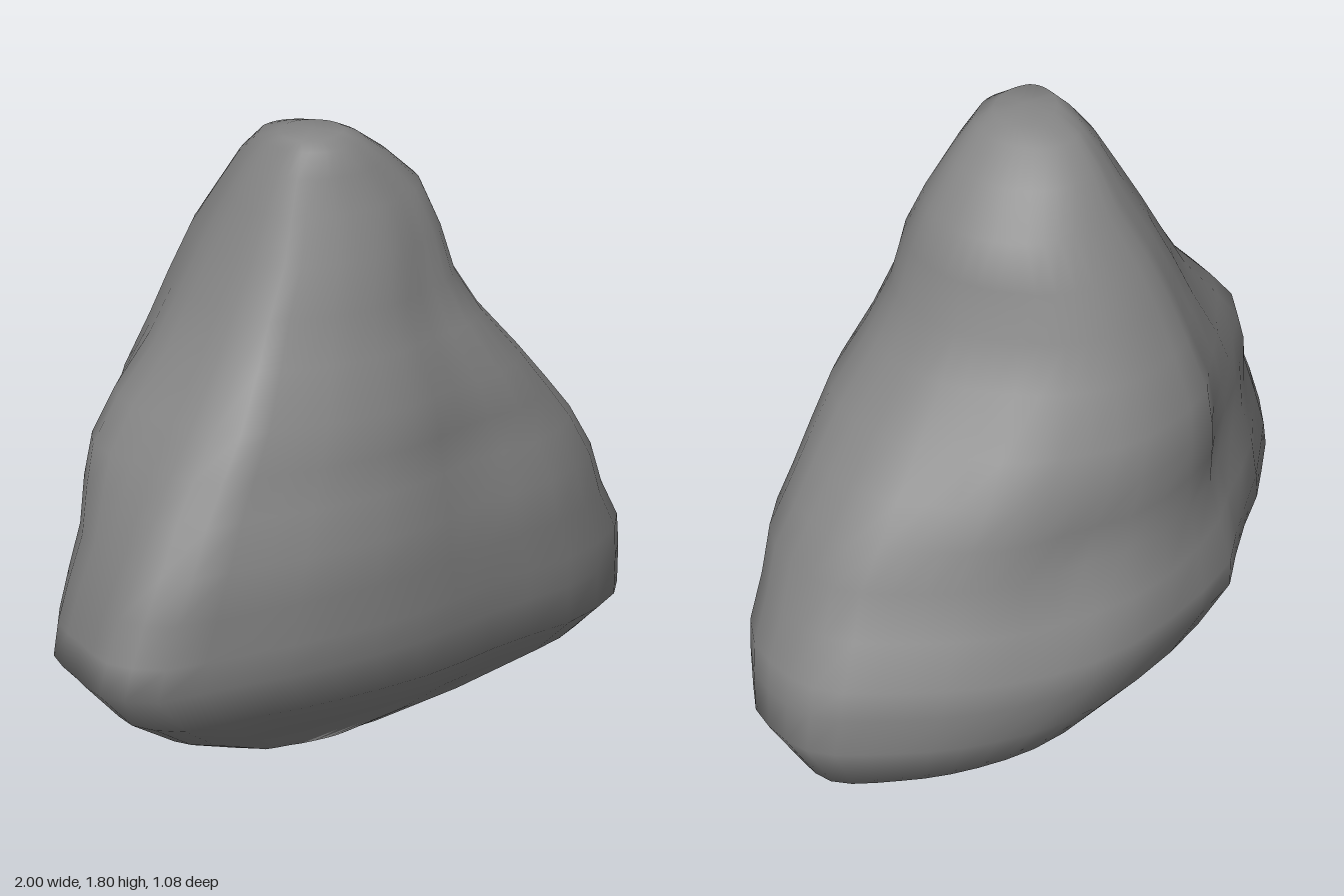
import * as THREE from 'three';

// Plan outline (x, z): flatter front, rounded back
const OUTLINE = [
  [-1, 0.13], [-0.93, 0.3], [-0.72, 0.36], [-0.53, 0.43], [-0.08, 0.52], [0.3, 0.51],
  [0.58, 0.53], [0.78, 0.48], [0.9, 0.41], [1, 0.22], [1, 0.1], [0.88, -0.1], [0.75, -0.26],
  [0.55, -0.42], [0.38, -0.5], [0.13, -0.54], [-0.16, -0.54], [-0.28, -0.48],
  [-0.5, -0.41], [-0.65, -0.32], [-0.81, -0.22], [-0.94, 0],
];

// Levels from the base up: y, left x, right x, back z, front z
const LEVELS = [
  [0.035, -0.36, 0.15, -0.1, 0.24],
  [0.05, -0.42, 0.58, -0.17, 0.26],
  [0.12, -0.64, 0.94, -0.35, 0.35],
  [0.24, -0.87, 0.99, -0.46, 0.49],
  [0.36, -1.0, 0.985, -0.52, 0.515],
  [0.45, -0.97, 0.97, -0.535, 0.525],
  [0.57, -0.935, 0.89, -0.51, 0.53],
  [0.7, -0.875, 0.83, -0.48, 0.535],
  [0.82, -0.78, 0.765, -0.485, 0.505],
  [0.93, -0.7, 0.67, -0.485, 0.495],
  [1.05, -0.61, 0.565, -0.475, 0.485],
  [1.2, -0.505, 0.44, -0.415, 0.435],
  [1.33, -0.435, 0.36, -0.36, 0.4],
  [1.47, -0.365, 0.315, -0.3, 0.38],
  [1.6, -0.31, 0.265, -0.21, 0.33],
  [1.7, -0.265, 0.145, -0.13, 0.29],
  [1.77, -0.225, 0.04, -0.05, 0.255],
  [1.797, -0.21, -0.015, 0.04, 0.21],
];

// Hollows and swellings: centre x, y, z, radius, depth (positive goes in)
const DENTS = [
  [0.4, 0.74, -0.42, 0.16, 0.05],
  [0.5, 1.0, -0.2, 0.15, -0.03],
  [-0.15, 0.62, -0.5, 0.15, 0.03],
  [-0.6, 0.95, -0.2, 0.22, -0.07],
  [0.1, 0.75, 0.5, 0.2, 0.015],
  [-0.45, 0.4, -0.42, 0.16, 0.02],
];

const SIDES = 40;

function createRockGeometry() {
  const curve = new THREE.CatmullRomCurve3(
    OUTLINE.map(([x, z]) => new THREE.Vector3(x, 0, z / 0.535)), true, 'centripetal');
  const plan = curve.getSpacedPoints(SIDES).slice(0, SIDES);
  const points = [], index = [];

  for (const [y, xl, xr, zb, zf] of LEVELS) {
    const round = THREE.MathUtils.smoothstep(y, 0.8, 1.75) * 0.7;
    for (const q of plan) {
      // Higher sections become rounder
      const k = THREE.MathUtils.lerp(1, 1 / Math.max(0.9, Math.hypot(q.x, q.z)), round);
      const p = new THREE.Vector3(
        (xl + xr) / 2 + q.x * k * (xr - xl) / 2, y,
        (zb + zf) / 2 + q.z * k * (zf - zb) / 2);
      const inward = new THREE.Vector3(-q.x * 0.7, 0, -q.z).normalize();
      for (const [x, dy, z, r, depth] of DENTS) {
        const d = p.distanceTo(new THREE.Vector3(x, dy, z)) / r;
        p.addScaledVector(inward, depth * Math.exp(-d * d));
      }
      points.push(p);
    }
  }

  // Side faces
  for (let i = 0; i < LEVELS.length - 1; i++) {
    for (let j = 0; j < SIDES; j++) {
      const a = i * SIDES + j, b = i * SIDES + (j + 1) % SIDES;
      index.push(a, b, b + SIDES, a, b + SIDES, a + SIDES);
    }
  }

  // Closing tips at the base and the summit
  const base = points.length, top = base + 1, last = (LEVELS.length - 1) * SIDES;
  points.push(new THREE.Vector3(-0.26, 0, 0.1), new THREE.Vector3(-0.11, 1.805, 0.13));
  for (let j = 0; j < SIDES; j++) {
    const n = (j + 1) % SIDES;
    index.push(base, n, j, top, last + j, last + n);
  }

  const geometry = new THREE.BufferGeometry().setFromPoints(points);
  geometry.setIndex(index);
  geometry.computeVertexNormals();
  return geometry;
}

export function createModel() {
  const group = new THREE.Group();
  group.name = 'boulder';
  const rock = new THREE.Mesh(
    createRockGeometry(), new THREE.MeshStandardMaterial({ color: 0x868686 }));
  rock.name = 'rock';
  group.add(rock);
  return group;
}
